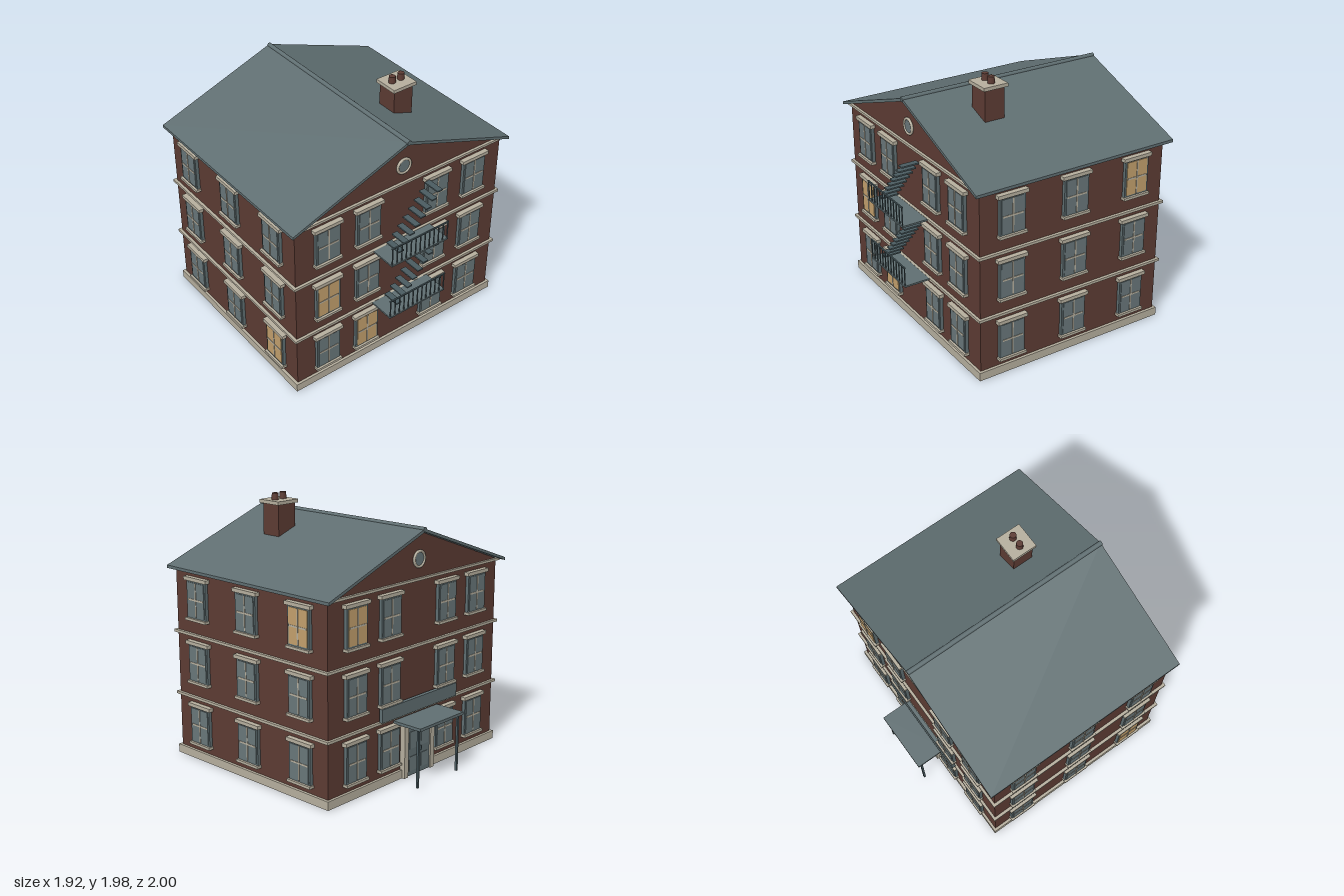
import * as THREE from 'three';

const mat = (name, color) => {
  const m = new THREE.MeshStandardMaterial({ color });
  m.name = name;
  return m;
};

export function createModel() {
  const brick = mat('brick', 0x5c3b33);
  const stone = mat('stone', 0xb5ae9d);
  const slate = mat('slate', 0x5f6e71);
  const glass = mat('glass', 0x687679);
  const lamp = mat('lit glass', 0xc29f6c);
  const iron = mat('iron', 0x4a5b60);

  const model = new THREE.Group();
  model.name = 'brickHouse';

  const add = (parent, name, geo, material, x = 0, y = 0, z = 0) => {
    const m = new THREE.Mesh(geo, material);
    m.name = name;
    m.position.set(x, y, z);
    parent.add(m);
    return m;
  };
  // Box given by its centre x, bottom y and back z
  const box = (parent, name, material, w, h, d, x, y, z) =>
    add(parent, name, new THREE.BoxGeometry(w, h, d), material, x, y + h / 2, z + d / 2);
  const group = (parent, name) => {
    const g = new THREE.Group();
    g.name = name;
    parent.add(g);
    return g;
  };
  const prism = (name, material, pts, z0, z1) => {
    const shape = new THREE.Shape(pts.map(([x, y]) => new THREE.Vector2(x, y)));
    const geo = new THREE.ExtrudeGeometry(shape, { depth: z1 - z0, bevelEnabled: false });
    return add(model, name, geo, material, 0, 0, z0);
  };

  const FRONT = 0.78, BACK = -0.755, HALF = 0.916, MID = (FRONT + BACK) / 2;
  const FLOOR = 0.482;

  // Walls with gables
  prism('walls', brick, [[-HALF, 0], [HALF, 0], [HALF, 1.452], [0, 1.785], [-HALF, 1.452]], BACK, FRONT);

  // Plinth and floor bands
  box(model, 'plinth', stone, 1.874, 0.064, 1.575, 0, 0.002, MID - 0.7875);
  [[0.473, 0.02], [0.956, 0.02], [1.437, 0.018]].forEach(([y, h]) =>
    box(model, 'floorBand', stone, 1.876, h, 1.575, 0, y, MID - 0.7875));

  // Roof and ridge
  prism('roof', slate, [[-0.96, 1.438], [0, 1.785], [0.96, 1.438], [0.96, 1.46], [0, 1.808], [-0.96, 1.46]], -0.81, 0.83);
  const ridge = add(model, 'ridge', new THREE.CylinderGeometry(0.018, 0.018, 1.646, 12), slate, 0, 1.802, 0.012);
  ridge.rotation.x = Math.PI / 2;

  // Chimney
  const chimney = group(model, 'chimney');
  box(chimney, 'chimneyStack', brick, 0.166, 0.4, 0.16, 0.307, 1.505, 0.24);
  box(chimney, 'chimneyCap', stone, 0.203, 0.026, 0.195, 0.307, 1.9, 0.2225);
  [0.267, 0.345].forEach(x =>
    add(chimney, 'chimneyPot', new THREE.CylinderGeometry(0.024, 0.026, 0.05, 16), brick, x, 1.951, 0.32));

  // One window, facing +z on its wall
  const addWindow = (wall, x, floor, lit) => {
    const w = group(wall, lit ? 'litWindow' : 'window');
    w.position.set(x, floor * FLOOR, 0);
    box(w, 'frame', slate, 0.204, 0.285, 0.025, 0, 0.132, 0);
    box(w, 'pane', lit ? lamp : glass, 0.176, 0.255, 0.006, 0, 0.147, 0.024);
    box(w, 'mullion', stone, 0.01, 0.255, 0.008, 0, 0.147, 0.026);
    box(w, 'transom', stone, 0.166, 0.013, 0.007, 0, 0.268, 0.026);
    box(w, 'lintel', stone, 0.242, 0.027, 0.038, 0, 0.413, 0);
    box(w, 'sill', stone, 0.222, 0.02, 0.042, 0, 0.115, 0);
  };

  // Four facades: position, turn, window columns, lit windows as "column,floor"
  const long = [-0.656, -0.307, 0.307, 0.656], short = [-0.522, 0, 0.522];
  const facades = [
    ['frontWall', 0, FRONT, 0, long, ['1,0', '0,1']],
    ['backWall', 0, BACK, Math.PI, long, ['0,2']],
    ['leftWall', HALF, MID, Math.PI / 2, short, ['2,2']],
    ['rightWall', -HALF, MID, -Math.PI / 2, short, ['2,0']],
  ];
  const walls = {};
  for (const [name, x, z, turn, columns, lit] of facades) {
    const wall = walls[name] = group(model, name + 'Details');
    wall.position.set(x, 0, z);
    wall.rotation.y = turn;
    columns.forEach((cx, c) => {
      for (let f = 0; f < 3; f++) addWindow(wall, cx, f, lit.includes(`${c},${f}`));
    });
  }

  // Round gable windows
  for (const wall of [walls.frontWall, walls.backWall]) {
    add(wall, 'roundWindowFrame', new THREE.TorusGeometry(0.056, 0.01, 8, 32), stone, 0, 1.59, 0.008);
    const pane = add(wall, 'roundWindowPane', new THREE.CylinderGeometry(0.054, 0.054, 0.009, 32), glass, 0, 1.59, 0.005);
    pane.rotation.x = Math.PI / 2;
  }

  // Fire escape: platform, front railing and open treads on two floors
  for (let f = 1; f <= 2; f++) {
    const e = group(model, 'fireEscape');
    e.position.y = f * FLOOR;
    box(e, 'platform', slate, 0.514, 0.013, 0.225, 0, -0.003, 0.775);
    box(e, 'handrail', iron, 0.514, 0.01, 0.01, 0, 0.15, 0.99);
    for (let i = 0; i <= 12; i++)
      box(e, 'baluster', iron, 0.007, 0.145, 0.007, -0.25 + i * 0.5 / 12, 0.008, 0.9915);
    for (let i = 0; i < 8; i++)
      box(e, 'tread', iron, 0.047, 0.011, 0.136, -0.142 + i * 0.047, 0.052 + i * 0.0535, 0.825);
  }

  // Back entrance: double door, surround, canopy and board
  const door = group(walls.backWall, 'entrance');
  for (const s of [-1, 1]) {
    box(door, 'doorLeaf', slate, 0.122, 0.37, 0.033, s * 0.062, 0.004, 0);
    box(door, 'upperDoorPanel', glass, 0.08, 0.13, 0.005, s * 0.064, 0.21, 0.032);
    box(door, 'lowerDoorPanel', glass, 0.08, 0.11, 0.005, s * 0.064, 0.04, 0.032);
    box(door, 'doorHandle', iron, 0.008, 0.035, 0.016, s * 0.014, 0.175, 0.032);
    box(door, 'doorJamb', stone, 0.042, 0.4, 0.043, s * 0.146, 0.002, 0);
    box(door, 'canopyPost', iron, 0.016, 0.436, 0.016, s * 0.222, 0, 0.202);
  }
  box(door, 'doorHead', stone, 0.334, 0.03, 0.043, 0, 0.374, 0);
  box(door, 'canopy', slate, 0.49, 0.022, 0.245, 0, 0.435, 0);
  box(door, 'board', slate, 0.83, 0.1, 0.03, 0, 0.493, 0.015);

  return model;
}
